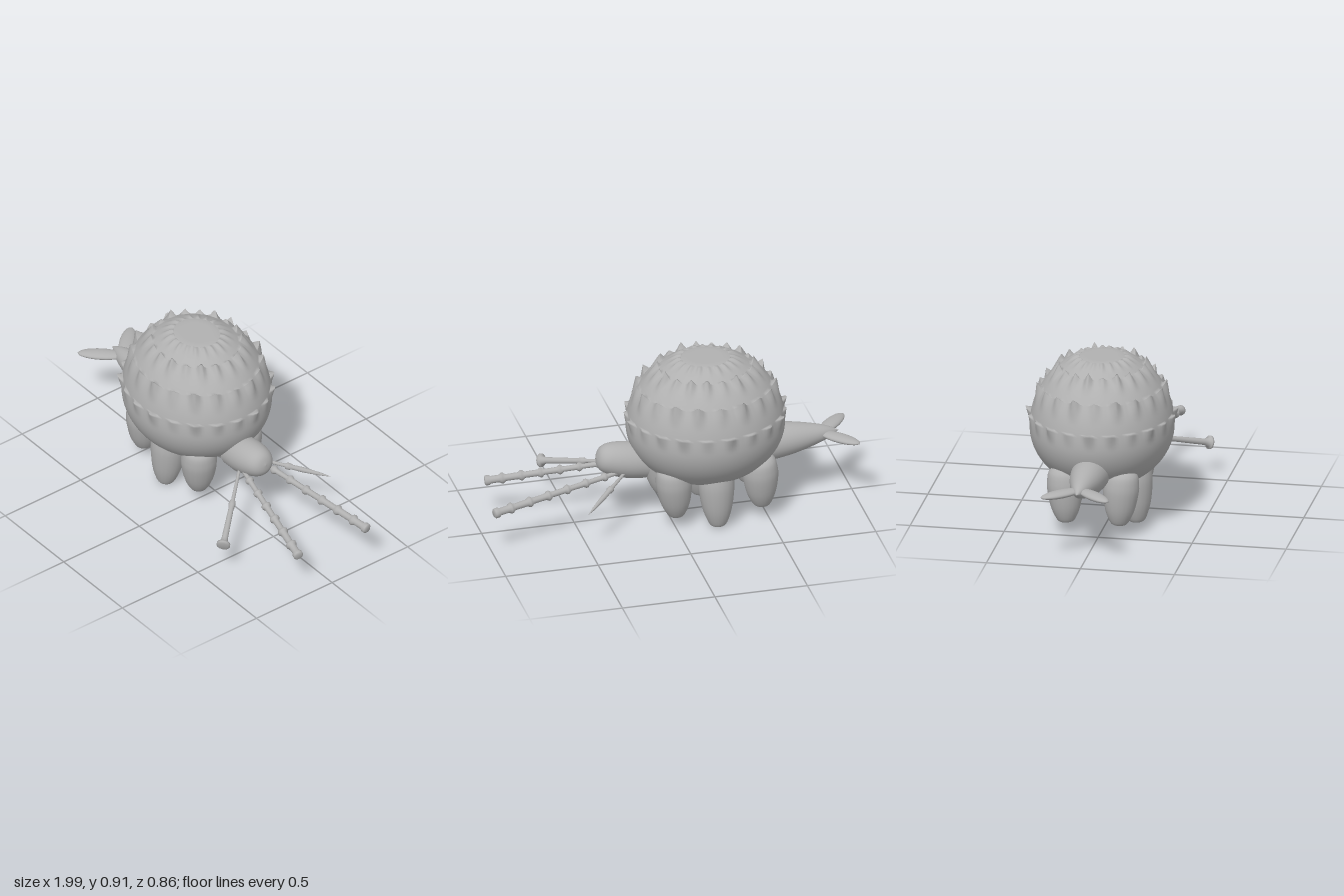
import * as THREE from 'three';
import { mergeVertices } from 'three/addons/utils/BufferGeometryUtils.js';

const CZ = -0.035; // centre plane of the animal
const V2 = (p) => new THREE.Vector2(p[0], p[1]);
const V3 = (p) => new THREE.Vector3(...p);

export function createModel() {
  const model = new THREE.Group();
  const skin = new THREE.MeshStandardMaterial({ color: 0xb0b0b0 });
  skin.name = 'grey skin';

  const add = (name, geometry) => {
    const mesh = new THREE.Mesh(geometry, skin);
    mesh.name = name;
    model.add(mesh);
    return mesh;
  };

  // Turned shape running between two points; profile is [radius, distance 0..1]
  const limb = (name, profile, from, to, sides = 20) => {
    const a = V3(from), dir = V3(to).sub(a), length = dir.length();
    const mesh = add(name, new THREE.LatheGeometry(profile.map(([r, t]) => V2([r, t * length])), sides));
    mesh.position.copy(a);
    mesh.quaternion.setFromUnitVectors(new THREE.Vector3(0, 1, 0), dir.normalize());
    return mesh;
  };

  // Smooths a few profile points into a curve
  const smooth = (points, n = 24) => new THREE.SplineCurve(points.map(V2)).getPoints(n)
    .map((p) => [Math.max(p.x, 0), p.y]);

  // Shell: ellipsoid with rings of raised scales, each with a sharp upper lip
  const rings = [ // latitude, count, height, length below the lip, phase
    [0.18, 21, 0.034, 0.16, 0.2],
    [0.58, 19, 0.040, 0.24, 0.5],
    [0.95, 19, 0.038, 0.24, 0.1],
    [1.25, 20, 0.022, 0.20, 0.4],
  ];
  const lats = [];
  for (let i = 0; i <= 60; i++) lats.push(-Math.PI / 2 + (Math.PI * i) / 60);
  for (const [lat] of rings) lats.push(lat, lat + 0.012);
  lats.sort((a, b) => a - b);
  const shell = new THREE.LatheGeometry(lats.map((a) => V2([Math.cos(a), a])), 168);
  const pos = shell.attributes.position;
  for (let i = 0; i < pos.count; i++) {
    const a = pos.getY(i), row = i % lats.length;
    const theta = ((i - row) / lats.length % 168) / 168 * Math.PI * 2;
    let bump = 0;
    for (const [lat, count, height, length, phase] of rings) {
      const t = (lat - a) / length;
      if (t < -1e-5 || t > 1) continue;
      const k = theta / (Math.PI * 2) * count + phase;
      const across = Math.abs(k - Math.round(k)) / 0.32;
      const vary = 0.85 + 0.3 * Math.sin(Math.round(k) % count * 2.4);
      bump += height * vary * Math.max(0, 1 - across) * Math.pow(1 - Math.max(t, 0), 1.4);
    }
    const c = Math.cos(a), s = Math.sin(a);
    const out = bump * (c - 0.35 * s), up = bump * (s + 0.35 * c);
    const y = 0.52 + (s > 0 ? 0.4 : 0.32) * s + up;
    pos.setXYZ(i, -0.2 + (0.42 * c + out) * Math.sin(theta), Math.min(y, 0.904), CZ + (0.378 * c + out) * Math.cos(theta));
  }
  shell.deleteAttribute('uv');
  shell.deleteAttribute('normal');
  const body = mergeVertices(shell, 1e-5);
  body.computeVertexNormals();
  add('scalyBody', body);

  // Head: short blunt snout tilted slightly upward
  limb('head', smooth([[0.09, 0], [0.097, 0.3], [0.092, 0.6], [0.075, 0.84], [0.045, 0.96], [0, 1]]),
    [0.12, 0.33, CZ], [0.39, 0.385, CZ], 32);

  // Tail with a forked pair of thin fins
  limb('tail', smooth([[0.09, 0], [0.1, 0.25], [0.088, 0.5], [0.062, 0.72], [0.035, 0.88], [0, 1]]),
    [-0.38, 0.35, CZ], [-0.92, 0.375, CZ], 28);
  for (const side of [1, -1]) {
    const fin = add(side > 0 ? 'leftTailFin' : 'rightTailFin', new THREE.SphereGeometry(1, 28, 16));
    fin.scale.set(0.125, 0.02, 0.042);
    fin.position.set(-0.903, 0.372, CZ + side * 0.085);
    fin.rotation.set(0, side * 0.82, 0);
  }

  // Three pairs of stubby legs
  const leg = smooth([[0, 0], [0.075, 0.1], [0.094, 0.3], [0.092, 0.5], [0.076, 0.75], [0.05, 0.94], [0.03, 0.995], [0, 1]]);
  const legs = [ // name, top x, foot x, foot y, top spread, foot spread
    ['front', 0.02, -0.01, 0.06, 0.155, 0.135],
    ['middle', -0.21, -0.22, 0.0, 0.165, 0.19],
    ['rear', -0.45, -0.47, 0.065, 0.155, 0.14],
  ];
  for (const [name, x0, x1, y, w0, w1] of legs) {
    for (const side of [1, -1]) {
      limb(name + (side > 0 ? 'LeftLeg' : 'RightLeg'), leg, [x0, 0.38, CZ + side * w0], [x1, y, CZ + side * w1]);
    }
  }

  // Long knobbly feelers
  const feeler = [[0, 0], [0.012, 0.01]];
  for (let i = 0; i < 6; i++) {
    const t = 0.14 + i * 0.145, r = 0.012 + i * 0.0012;
    feeler.push([r, t - 0.025], [r + 0.011, t - 0.006], [r + 0.011, t + 0.006], [r + 0.002, t + 0.025]);
  }
  feeler.push([0.02, 0.95], [0.027, 0.965], [0.027, 0.99], [0.018, 1], [0, 1]);
  limb('leftLongFeeler', feeler, [0.26, 0.315, 0.025], [0.94, 0.215, 0.172], 14);
  limb('rightLongFeeler', feeler, [0.26, 0.315, -0.09], [0.997, 0.235, -0.24], 14);

  // Short feelers: one ends in a disc, the other in a point
  limb('discFeeler', [[0, 0], [0.008, 0.02], [0.01, 0.4], [0.018, 0.44], [0.018, 0.48], [0.014, 0.52], [0.017, 0.9],
    [0.022, 0.955], [0.036, 0.965], [0.036, 0.985], [0.025, 1], [0, 1]], [0.25, 0.31, 0.03], [0.585, 0.173, 0.4], 16);
  limb('pointedFeeler', [[0, 0], [0.008, 0.02], [0.01, 0.35], [0.018, 0.38], [0.018, 0.42], [0.013, 0.46], [0.014, 0.6],
    [0.008, 0.85], [0, 1]], [0.25, 0.31, -0.1], [0.52, 0.23, -0.37], 14);

  return model;
}
